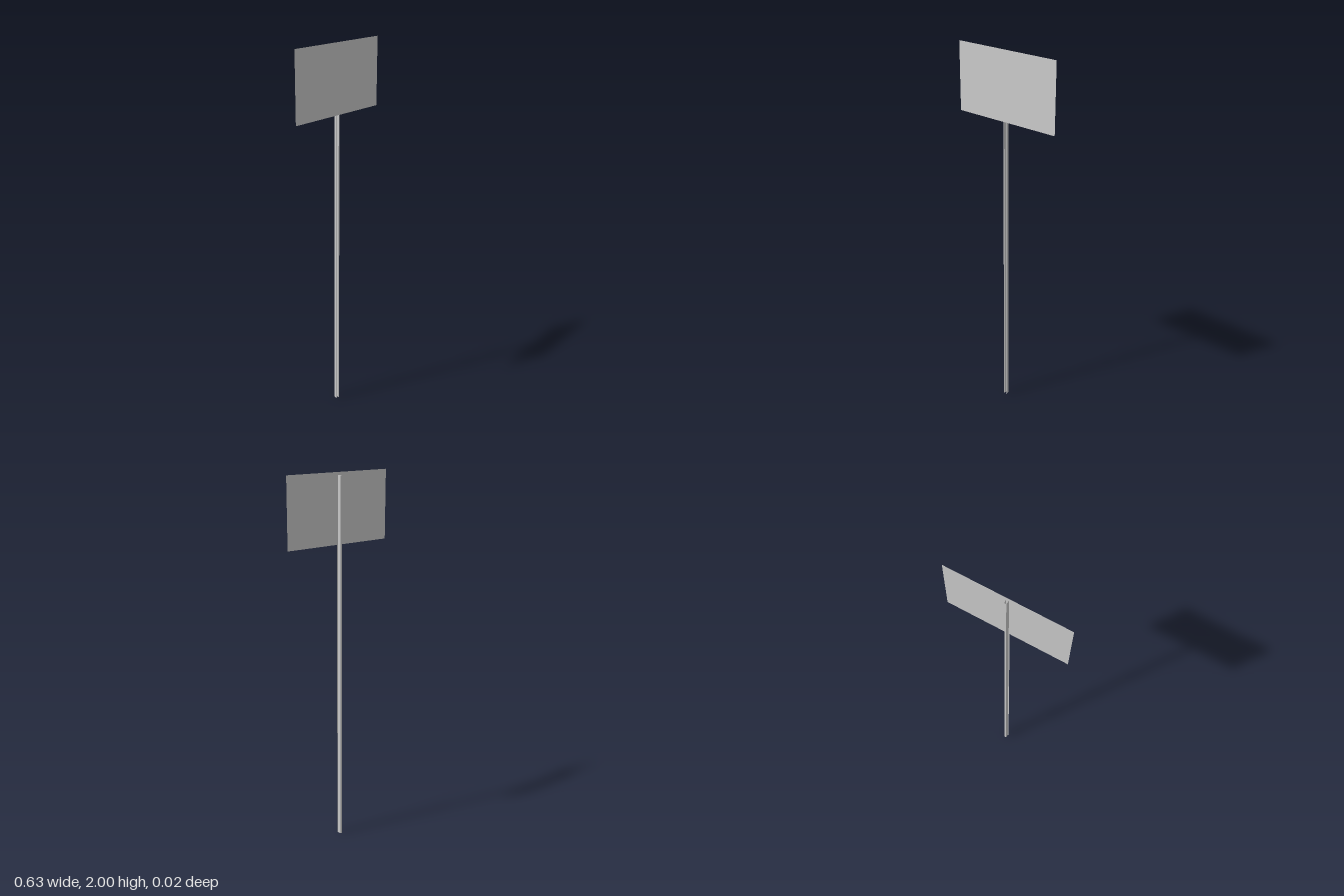
import * as THREE from 'three';

const material = new THREE.MeshStandardMaterial({ color: 0xcccccc, side: THREE.DoubleSide, flatShading: true });

// Sheet-metal strip: an open (x, z) section extruded straight up
function channel(section, height) {
  const pos = [], index = [];
  section.forEach(([x, z], i) => {
    pos.push(x, 0, z, x, height, z);
    if (i > 0) {
      const a = 2 * (i - 1);
      index.push(a, a + 1, a + 2, a + 2, a + 1, a + 3);
    }
  });
  const geo = new THREE.BufferGeometry();
  geo.setAttribute('position', new THREE.Float32BufferAttribute(pos, 3));
  geo.setIndex(index);
  const flat = geo.toNonIndexed();
  flat.computeVertexNormals();
  return flat;
}

export function createModel() {
  const group = new THREE.Group();
  group.name = 'signpost';

  // Hat-section post: two front flanges, sloped sides, web at the back
  const half = [[0.012, 0.0095], [0.007, 0.0095], [0.005, -0.01]];
  const section = [...half, ...half.map(([x, z]) => [-x, z]).reverse()];
  const post = new THREE.Mesh(channel(section, 1.985), material);
  post.name = 'post';
  post.position.x = -0.003;
  group.add(post);

  // Thin blank panel fixed to the front flanges
  const panel = new THREE.Mesh(new THREE.PlaneGeometry(0.63, 0.36), material);
  panel.name = 'signPanel';
  panel.position.set(0, 1.82, 0.01);
  group.add(panel);

  return group;
}
